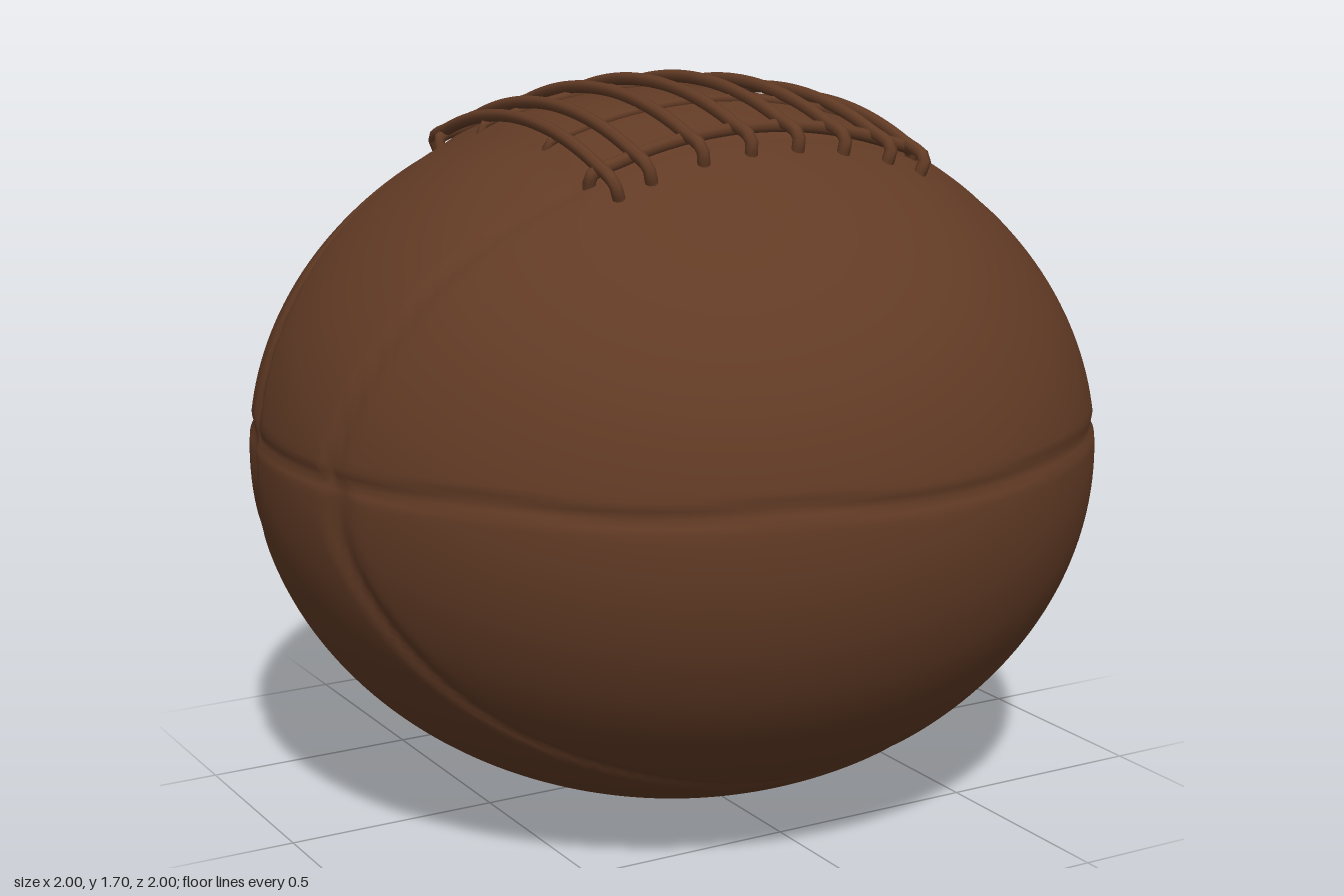
import * as THREE from 'three';
import { mergeVertices } from 'three/addons/utils/BufferGeometryUtils.js';

const RY = 0.83; // half height of the ball; its half width is 1

const leather = new THREE.MeshStandardMaterial({ color: 0x623b25 });
leather.name = 'brown leather';

// Point above the ball's upper surface at (x, z)
function onBall(x, z, offset) {
  const h = Math.sqrt(1 - x * x - z * z);
  const normal = new THREE.Vector3(x, h / RY, z).normalize();
  return new THREE.Vector3(x, RY + RY * h, z).addScaledVector(normal, offset);
}

// Squashed sphere with stitched seams pressed into it
function ballGeometry() {
  let g = new THREE.SphereGeometry(1, 240, 150);
  g.deleteAttribute('uv');
  g.deleteAttribute('normal');
  g = mergeVertices(g, 1e-5);
  const p = g.attributes.position;
  const groove = (d) => Math.exp(-((d / 0.016) ** 2));
  for (let i = 0; i < p.count; i++) {
    const x = p.getX(i), y = p.getY(i), z = p.getZ(i);
    const r = Math.hypot(y, z);
    // Side seam round the middle, and seams bounding the top and bottom panels
    const middle = y - 0.09 - 0.008 * Math.sin(9 * x + 4 * z);
    const spread = y > 0.09 ? 0.15 + 0.23 * r : 0.12 + 0.48 * r;
    const panel = Math.abs(z) - spread - 0.006 * Math.sin(11 * x);
    let push = -0.012 * Math.max(groove(middle), groove(panel));
    // Slightly raised tongue beneath the lacing
    if (y > 0) {
      const edge = Math.max(Math.abs(x) - 0.42, Math.abs(z) - 0.38);
      push += 0.008 * (1 - THREE.MathUtils.smoothstep(edge, -0.04, 0.04));
    }
    const k = 1 + push;
    p.setXYZ(i, x * k, RY + y * RY * k, z * k);
  }
  g.computeVertexNormals();
  return g;
}

// Cord that follows the ball, with both ends tucked into the leather
function cord(name, pointAt, half, offset, radius) {
  const points = [];
  const n = 12;
  for (let i = 0; i <= n; i++) {
    const t = (i / n) * 2 - 1;
    points.push(pointAt(t * half, offset));
  }
  points.unshift(pointAt(-half - 0.012, -0.015));
  points.push(pointAt(half + 0.012, -0.015));
  const curve = new THREE.CatmullRomCurve3(points, false, 'centripetal');
  const mesh = new THREE.Mesh(new THREE.TubeGeometry(curve, 48, radius, 8), leather);
  mesh.name = name;
  return mesh;
}

export function createModel() {
  const model = new THREE.Group();
  model.name = 'ball';

  const body = new THREE.Mesh(ballGeometry(), leather);
  body.name = 'leatherBody';
  model.add(body);

  const lacing = new THREE.Group();
  lacing.name = 'lacing';
  // Laces running front to back
  for (const x of [-0.39, -0.31, -0.18, -0.06, 0.06, 0.18, 0.3, 0.39]) {
    lacing.add(cord('crossLace', (z, o) => onBall(x, z, o), 0.44, 0.03, 0.015));
  }
  // Cords running side to side beneath them
  for (const z of [-0.38, -0.16, 0.17, 0.37]) {
    const outer = Math.abs(z) > 0.3;
    lacing.add(cord('longCord', (x, o) => onBall(x, z, o), 0.41, outer ? 0.018 : 0.01, outer ? 0.015 : 0.011));
  }
  model.add(lacing);
  return model;
}
